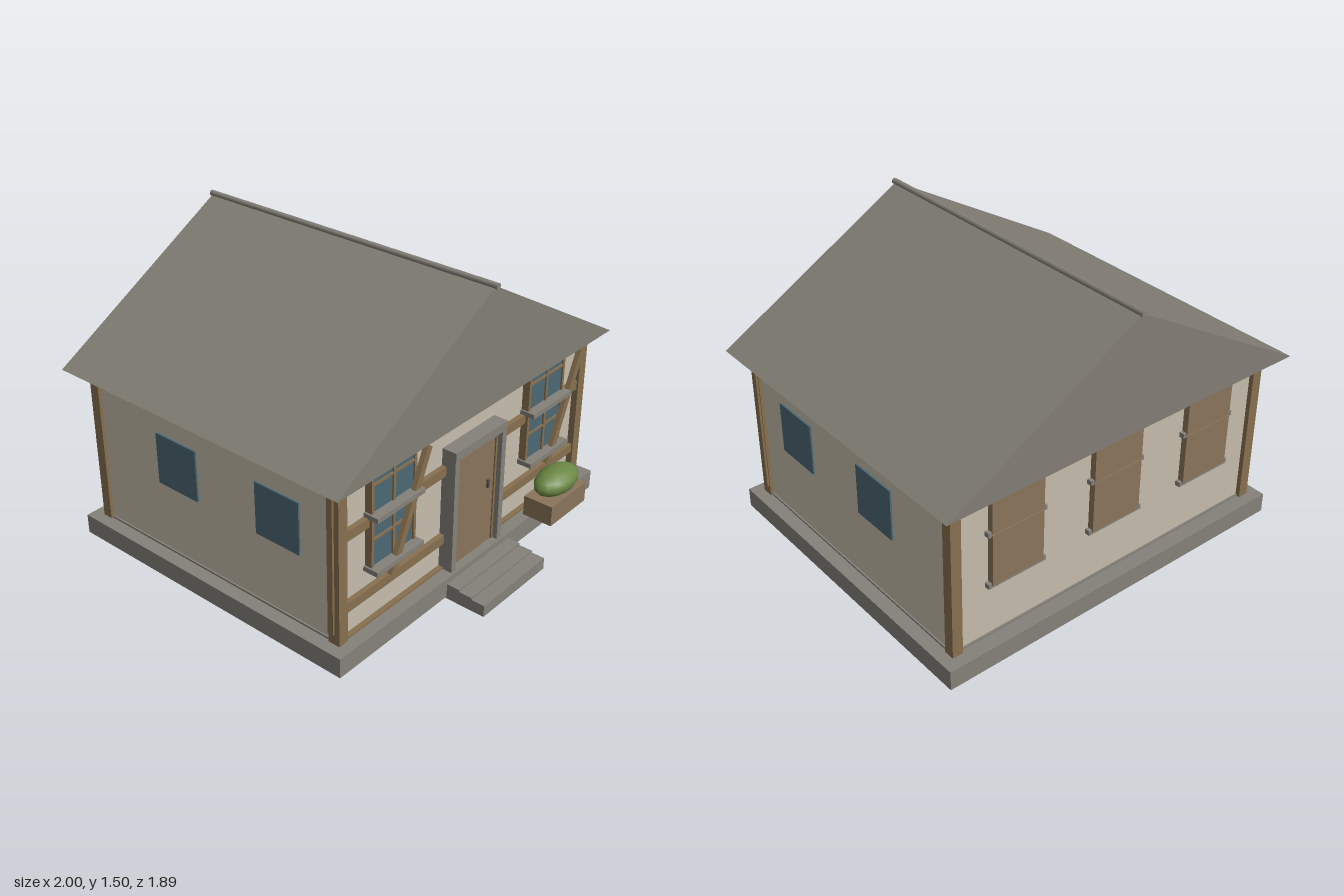
import * as THREE from 'three';

export function createModel() {
  const house = new THREE.Group();
  house.name = 'cottage';

  const material = (name, color) => {
    const m = new THREE.MeshStandardMaterial({ color });
    m.name = name;
    return m;
  };
  const stone = material('grey stone', 0x85817a);
  const roofGrey = material('roof grey', 0x827e75);
  const plaster = material('cream plaster', 0xc5bdac);
  const timber = material('brown timber', 0x87704f);
  const doorWood = material('door wood', 0x8a745a);
  const glass = material('blue glass', 0x4c6873);
  const leaf = material('leaf green', 0x6a8743);
  const iron = material('dark iron', 0x5a5a58);

  const add = (name, geometry, mat, parent = house) => {
    const mesh = new THREE.Mesh(geometry, mat);
    mesh.name = name;
    parent.add(mesh);
    return mesh;
  };
  // box given by its lower and upper limits on each axis
  const box = (name, mat, [x0, x1], [y0, y1], [z0, z1], parent = house) => {
    const mesh = add(name, new THREE.BoxGeometry(x1 - x0, y1 - y0, z1 - z0), mat, parent);
    mesh.position.set((x0 + x1) / 2, (y0 + y1) / 2, (z0 + z1) / 2);
    return mesh;
  };

  // base, walls and entrance steps
  box('foundation', stone, [-0.975, 0.975], [0.01, 0.11], [-0.907, 0.737]);
  box('walls', plaster, [-0.9, 0.9], [0.11, 0.912], [-0.825, 0.65]);
  [[0.945, 0.06], [0.875, 0.07], [0.805, 0.08]].forEach(([z, h]) =>
    box('step', stone, [-0.24, 0.24], [0, h], [0.72, z]));

  // gable roof with a ridge pole
  const gable = new THREE.Shape();
  gable.moveTo(-1, 0.91);
  gable.lineTo(1, 0.91);
  gable.lineTo(0, 1.485);
  gable.closePath();
  const roof = add('roof', new THREE.ExtrudeGeometry(gable, { depth: 1.69, bevelEnabled: false }), roofGrey);
  roof.position.z = -0.937;
  const ridge = add('ridgePole', new THREE.CylinderGeometry(0.015, 0.015, 1.715, 8), stone);
  ridge.rotation.x = Math.PI / 2;
  ridge.position.set(0, 1.487, -0.09);

  // corner posts and their side strips
  for (const s of [-1, 1]) {
    const span = (a, b) => (s > 0 ? [a, b] : [-b, -a]);
    box('frontPost', timber, span(0.863, 0.917), [0.11, 0.91], [0.622, 0.683]);
    box('backPost', timber, span(0.863, 0.917), [0.11, 0.91], [-0.848, -0.795]);
    box('cornerStrip', timber, span(0.91, 0.928), [0.165, 0.905], [0.627, 0.657]);
    // side windows
    for (const z of [0.327, -0.292])
      box('sideWindow', glass, span(0.89, 0.909), [0.47, 0.733], [z - 0.127, z + 0.127]);
    // thin floor beam along each side
    box('sideFloorBeam', stone, span(0.89, 0.908), [0.11, 0.12], [-0.8, 0.63]);
  }

  // horizontal beams of the front wall
  for (const y of [[0.11, 0.12], [0.25, 0.297], [0.612, 0.66], [0.888, 0.91]])
    box('frontBeam', timber, [-0.87, 0.87], y, [0.64, 0.675]);

  // front windows with bars, sills and a leaning plank
  for (const x of [-0.567, 0.567]) {
    const win = new THREE.Group();
    win.name = 'frontWindow';
    win.position.x = x;
    house.add(win);
    box('pane', glass, [-0.14, 0.14], [0.4, 0.908], [0.645, 0.68], win);
    for (const bx of [-0.14, 0, 0.14])
      box('uprightBar', timber, [bx - 0.008, bx + 0.008], [0.4, 0.908], [0.65, 0.688], win);
    for (const by of [0.545, 0.815])
      box('crossBar', timber, [-0.14, 0.14], [by - 0.006, by + 0.006], [0.65, 0.687], win);
    for (const by of [0.385, 0.656])
      box('sill', stone, [-0.158, 0.158], [by, by + 0.024], [0.645, 0.728], win);
  }
  for (const x of [-0.48, 0.71]) {
    const plank = add('leaningPlank', new THREE.BoxGeometry(0.034, 0.585, 0.025), timber);
    plank.position.set(x, 0.59, 0.7);
    plank.rotation.z = -0.41;
  }

  // boarded windows on the back wall
  for (const x of [-0.567, 0, 0.567]) {
    const win = new THREE.Group();
    win.name = 'boardedWindow';
    win.position.x = x;
    house.add(win);
    box('lowerBoard', doorWood, [-0.14, 0.14], [0.4, 0.664], [-0.856, -0.82], win);
    box('upperBoard', doorWood, [-0.14, 0.14], [0.67, 0.908], [-0.856, -0.82], win);
    for (const y of [0.385, 0.656])
      box('backSill', stone, [-0.158, 0.158], [y, y + 0.024], [-0.852, -0.82], win);
  }
  box('backFloorBeam', stone, [-0.87, 0.87], [0.11, 0.12], [-0.833, -0.82]);

  // door with stone surround
  const door = new THREE.Group();
  door.name = 'door';
  house.add(door);
  box('doorPanel', doorWood, [-0.15, 0.15], [0.11, 0.692], [0.645, 0.693], door);
  for (const x of [-0.156, 0.156])
    box('doorTrim', timber, [x - 0.008, x + 0.008], [0.11, 0.7], [0.645, 0.7], door);
  box('doorTrim', timber, [-0.16, 0.16], [0.69, 0.702], [0.645, 0.7], door);
  for (const x of [-0.177, 0.177])
    box('doorJamb', stone, [x - 0.016, x + 0.016], [0.11, 0.745], [0.645, 0.724], door);
  box('doorLintel', stone, [-0.193, 0.193], [0.7, 0.746], [0.645, 0.726], door);
  box('doorHandle', iron, [0.096, 0.11], [0.42, 0.463], [0.69, 0.705], door);

  // planter with a rounded bush
  box('planter', doorWood, [0.417, 0.717], [0.11, 0.217], [0.7, 0.86]);
  const bush = add('bush', new THREE.SphereGeometry(1, 14, 9), leaf);
  bush.scale.set(0.15, 0.066, 0.088);
  bush.position.set(0.567, 0.274, 0.78);

  return house;
}
